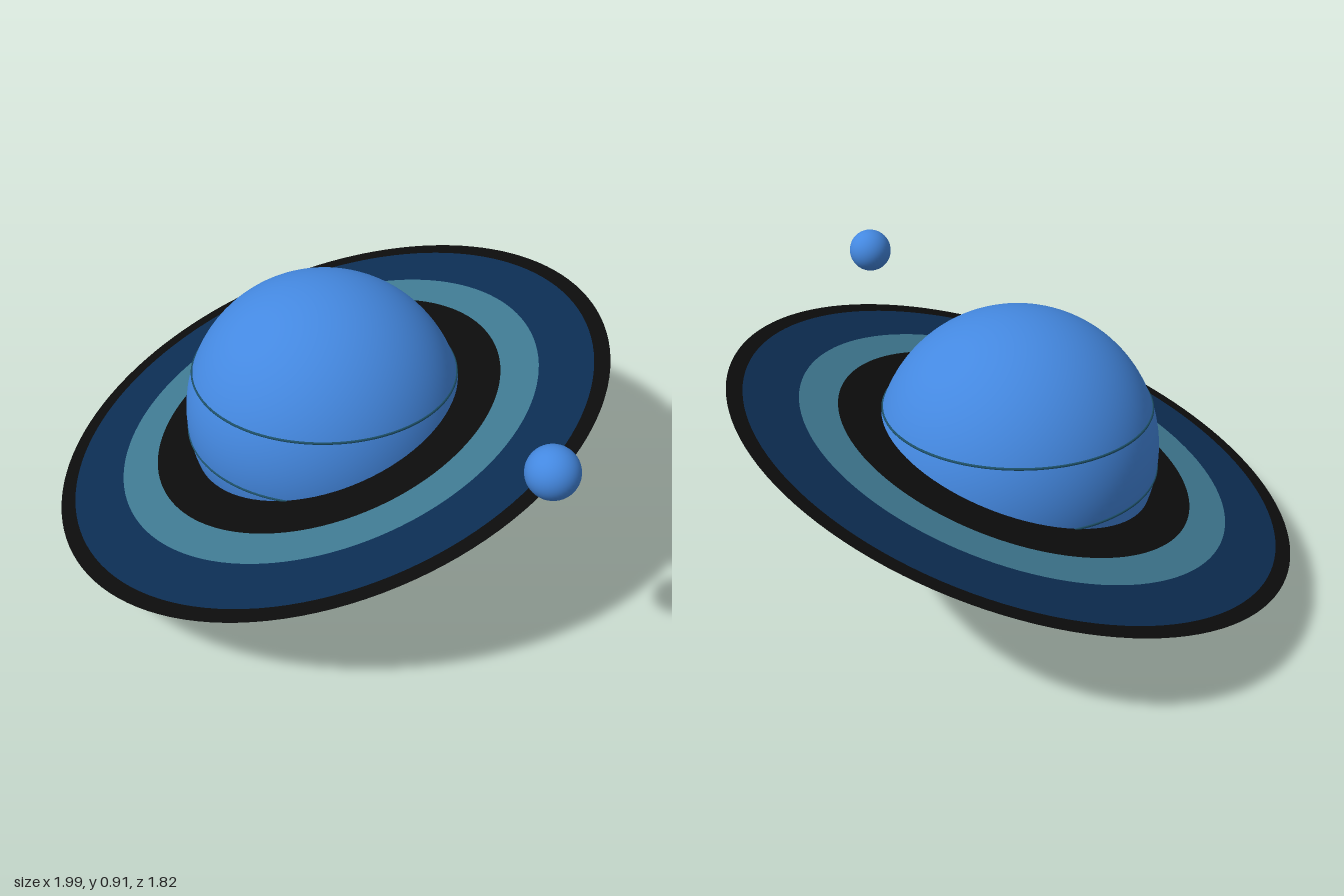
import * as THREE from 'three';

const flat = (name, color, side = THREE.FrontSide) => {
  const m = new THREE.MeshStandardMaterial({ color, side });
  m.name = name;
  return m;
};

export function createModel() {
  const group = new THREE.Group();
  group.name = 'ringedPlanet';

  const blue = flat('planetBlue', 0x4488e0);
  const line = flat('bandLine', 0x1d4f66);
  const black = flat('ringBlack', 0x0c0c0c, THREE.DoubleSide);
  const navy = flat('ringNavy', 0x0c2d52, THREE.DoubleSide);
  const teal = flat('ringTeal', 0x3e7890, THREE.DoubleSide);

  const add = (parent, name, geometry, material, x = 0, y = 0, z = 0) => {
    const mesh = new THREE.Mesh(geometry, material);
    mesh.name = name;
    mesh.position.set(x, y, z);
    parent.add(mesh);
    return mesh;
  };

  // Planet with thin latitude lines half sunk into its surface
  const R = 0.453;
  const planet = new THREE.Group();
  planet.name = 'planet';
  planet.position.set(-0.08, R, 0);
  group.add(planet);
  add(planet, 'globe', new THREE.SphereGeometry(R, 96, 64), blue);
  [0.155, -0.055, -0.207].forEach((h, i) => {
    const geo = new THREE.TorusGeometry(Math.sqrt(R * R - h * h), 0.004, 8, 128);
    geo.rotateX(Math.PI / 2);
    add(planet, `latitudeLine${i + 1}`, geo, line, 0, h, 0);
  });

  // Tilted ring system: concentric flat bands
  const rings = new THREE.Group();
  rings.name = 'rings';
  rings.rotation.set(0.25, 0, 0.2);
  planet.add(rings);
  const bands = [
    ['innerBlackBand', 0.44, 0.592, black],
    ['tealBand', 0.592, 0.715, teal],
    ['navyBand', 0.715, 0.888, navy],
    ['outerBlackBand', 0.888, 0.938, black],
  ];
  for (const [name, inner, outer, material] of bands) {
    const geo = new THREE.RingGeometry(inner, outer, 128, 1);
    geo.rotateX(-Math.PI / 2);
    add(rings, name, geo, material);
  }

  // Small moon
  add(group, 'moon', new THREE.SphereGeometry(0.075, 40, 28), blue, 0.92, 0.795, 0.15);

  return group;
}
